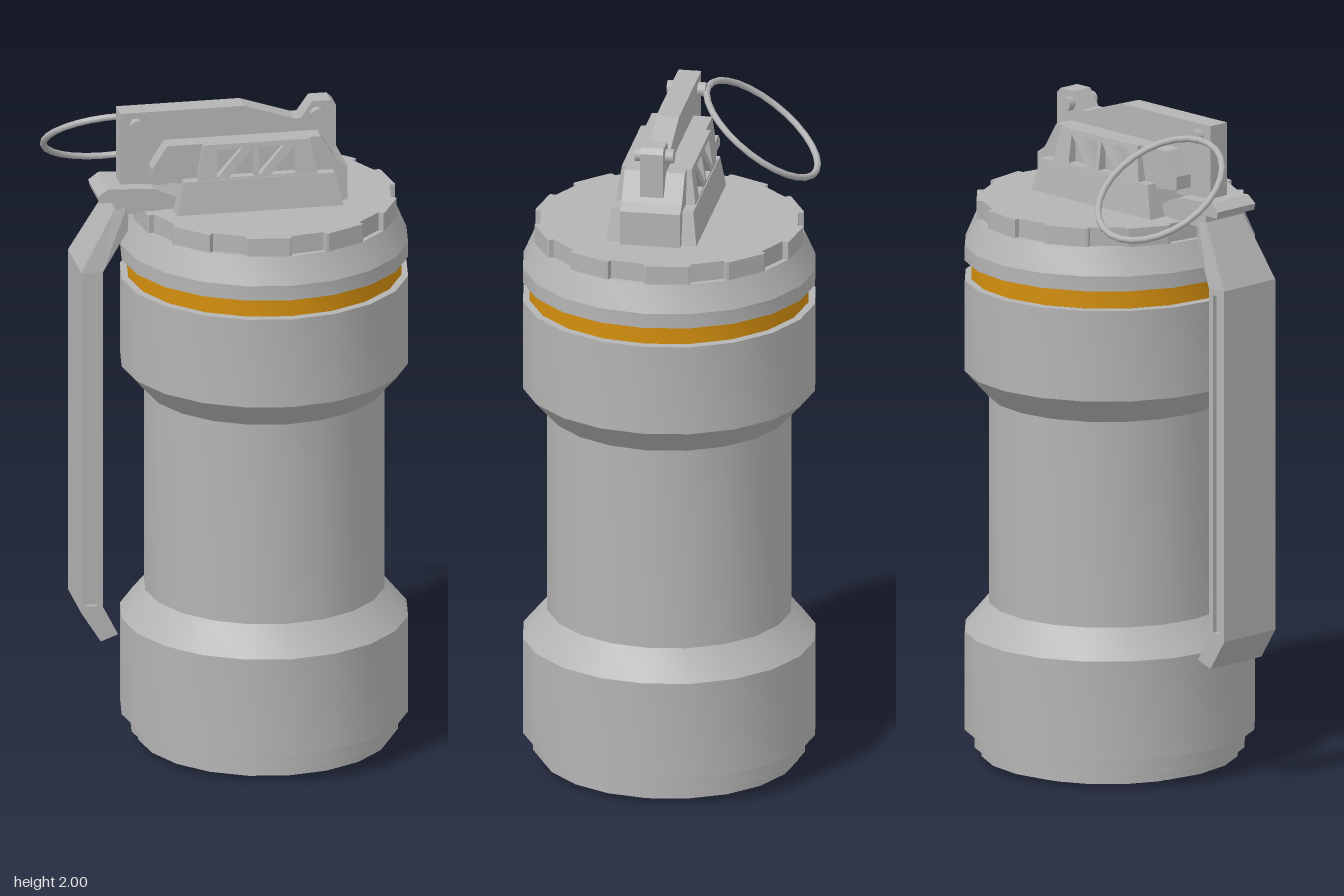
import * as THREE from 'three';
import { toCreasedNormals } from 'three/addons/utils/BufferGeometryUtils.js';

const AXIS_X = 0.1;   // body axis
const MID_Z = 0.017;  // mid plane of the fuse head and lever
const SIDES = 20;

const metal = new THREE.MeshStandardMaterial({ color: 0xb4b4b4 });
metal.name = 'grey metal';
const amber = new THREE.MeshStandardMaterial({ color: 0xd48f0e });
amber.name = 'amber band';

export function createModel() {
  const model = new THREE.Group();

  const add = (name, geometry, material = metal, parent = model) => {
    const mesh = new THREE.Mesh(geometry, material);
    mesh.name = name;
    parent.add(mesh);
    return mesh;
  };
  const shapeOf = (points) => new THREE.Shape(points.map(([x, y]) => new THREE.Vector2(x, y)));
  // Side outline extruded between two z positions
  const slab = (shape, z0, z1) =>
    new THREE.ExtrudeGeometry(shape, { depth: z1 - z0, bevelEnabled: false, curveSegments: 4 }).translate(0, 0, z0);
  const turned = (points) => toCreasedNormals(
    new THREE.LatheGeometry(points.map(([r, y]) => new THREE.Vector2(r, y)), SIDES), 0.38);

  // Turned parts share the body axis and are very slightly narrower in x
  const canister = new THREE.Group();
  canister.name = 'canister';
  canister.position.x = AXIS_X;
  canister.scale.x = 0.98;
  model.add(canister);

  add('body', turned([
    [0, 0.008], [0.3, 0.008], [0.3, 0], [0.325, 0], [0.325, 0.018], [0.385, 0.018], [0.385, 0.045],
    [0.405, 0.045], [0.405, 0.1], [0.435, 0.1], [0.435, 0.4], [0.363, 0.485], [0.363, 1.11],
    [0.435, 1.19], [0.435, 1.465], [0.405, 1.465],
  ]), metal, canister);
  add('colourBand', turned([[0.405, 1.465], [0.415, 1.468], [0.415, 1.522], [0.405, 1.525]]), amber, canister);
  add('collar', turned([
    [0.405, 1.525], [0.435, 1.525], [0.435, 1.57], [0.4, 1.65], [0, 1.65],
  ]), metal, canister);

  // Lid with a shallow notch on every other side
  const rim = [];
  for (let i = 0; i < SIDES / 2; i++) {
    [[0, 0.4], [1, 0.398], [1.3, 0.382], [16.7, 0.382], [17, 0.398], [18, 0.4]].forEach(([deg, r]) => {
      const a = THREE.MathUtils.degToRad(i * 36 + deg);
      rim.push([r * Math.cos(a), r * Math.sin(a)]);
    });
  }
  const lid = add('lid', slab(shapeOf(rim), 0, 0.06).rotateX(Math.PI / 2), metal, canister);
  lid.position.y = 1.706;

  // Fuse head, modelled around its own mid plane
  const head = new THREE.Group();
  head.name = 'fuseHead';
  head.position.z = MID_Z;
  model.add(head);

  add('housing', slab(shapeOf([
    [-0.18, 1.7], [0.33, 1.7], [0.33, 1.81], [0.3, 1.83], [0.25, 1.91], [-0.21, 1.91], [-0.255, 1.84],
    [-0.255, 1.8], [-0.16, 1.79],
  ]), -0.09, 0.09), metal, head);

  // Tapered skirt around the housing
  const skirt = new THREE.BoxGeometry(0.5, 0.1, 0.27).toNonIndexed();
  const p = skirt.attributes.position;
  for (let i = 0; i < p.count; i++) {
    if (p.getY(i) > 0) p.setXYZ(i, p.getX(i) * 0.9, p.getY(i), p.getZ(i) * 0.9);
  }
  skirt.computeVertexNormals();
  add('skirt', skirt.translate(0.06, 1.755, 0), metal, head);

  // Cheek plates with two diagonally braced windows, leaning inwards
  for (const side of [1, -1]) {
    const outline = shapeOf([[-0.125, 1.795], [0.235, 1.795], [0.215, 1.91], [-0.105, 1.91]]);
    for (const x of [-0.065, 0.06]) {
      const tri = (pts) => outline.holes.push(new THREE.Path(pts.map(([u, v]) => new THREE.Vector2(x + u, 1.81 + v))));
      tri([[0, 0], [0, 0.085], [0.075, 0.085]]);
      tri([[0.035, 0], [0.11, 0.085], [0.11, 0]]);
    }
    const cheek = slab(outline, side > 0 ? 0.085 : -0.12, side > 0 ? 0.12 : -0.085);
    const q = cheek.attributes.position;
    for (let i = 0; i < q.count; i++) {
      if (Math.abs(q.getZ(i)) > 0.1) q.setZ(i, q.getZ(i) - side * (q.getY(i) - 1.795) * 0.14);
    }
    cheek.computeVertexNormals();
    add(side > 0 ? 'frontCheek' : 'backCheek', cheek, metal, head);
  }

  // Upright spine plate and its two cross pins
  add('spine', slab(shapeOf([
    [-0.34, 1.77], [-0.2, 1.77], [-0.2, 1.85], [0.305, 1.85], [0.305, 1.985], [0.29, 2], [0.235, 2],
    [0.2, 1.95], [0.18, 1.95], [0.03, 2], [-0.34, 2],
  ]), -0.034, 0.034), metal, head);
  for (const x of [-0.292, 0.248]) {
    const pin = add('crossPin', new THREE.CylinderGeometry(0.021, 0.021, 0.115, 12).rotateX(Math.PI / 2), metal, head);
    pin.position.set(x, 1.962, 0);
  }

  // Pull ring hanging back from the pin
  const ring = add('pullRing', new THREE.TorusGeometry(0.202, 0.01, 8, 28));
  ring.position.set(-0.318, 1.838, -0.203);
  ring.rotation.x = 0.93;

  // Safety lever: hook over the head, neck, then the long grip with grooved sides
  const lever = new THREE.Group();
  lever.name = 'safetyLever';
  lever.position.z = MID_Z;
  model.add(lever);

  add('leverHook', slab(shapeOf([
    [-0.365, 1.72], [-0.33, 1.7], [-0.18, 1.71], [-0.18, 1.745], [-0.25, 1.775], [-0.385, 1.782],
    [-0.415, 1.76], [-0.41, 1.74], [-0.365, 1.74],
  ]), -0.077, 0.077), metal, lever);

  const neck = slab(shapeOf([
    [-0.47, 1.535], [-0.405, 1.535], [-0.325, 1.65], [-0.325, 1.735], [-0.365, 1.735], [-0.365, 1.72],
  ]), -0.105, 0.105);
  const n = neck.attributes.position;
  for (let i = 0; i < n.count; i++) {
    if (n.getY(i) > 1.6) n.setZ(i, n.getZ(i) * 0.72);
  }
  neck.computeVertexNormals();
  add('leverNeck', neck, metal, lever);

  const grip = [[-0.47, 0.47], [-0.412, 0.378], [-0.36, 0.397], [-0.405, 0.485], [-0.405, 1.535], [-0.47, 1.535]];
  add('leverGrip', slab(shapeOf(grip), -0.09, 0.09), metal, lever);
  for (const z of [-0.105, 0.09]) {
    const side = shapeOf(grip);
    side.holes.push(new THREE.Path([[-0.455, 0.49], [-0.455, 1.515], [-0.423, 1.515], [-0.423, 0.49]]
      .map(([x, y]) => new THREE.Vector2(x, y))));
    add('leverSideRim', slab(side, z, z + 0.015), metal, lever);
  }

  return model;
}
